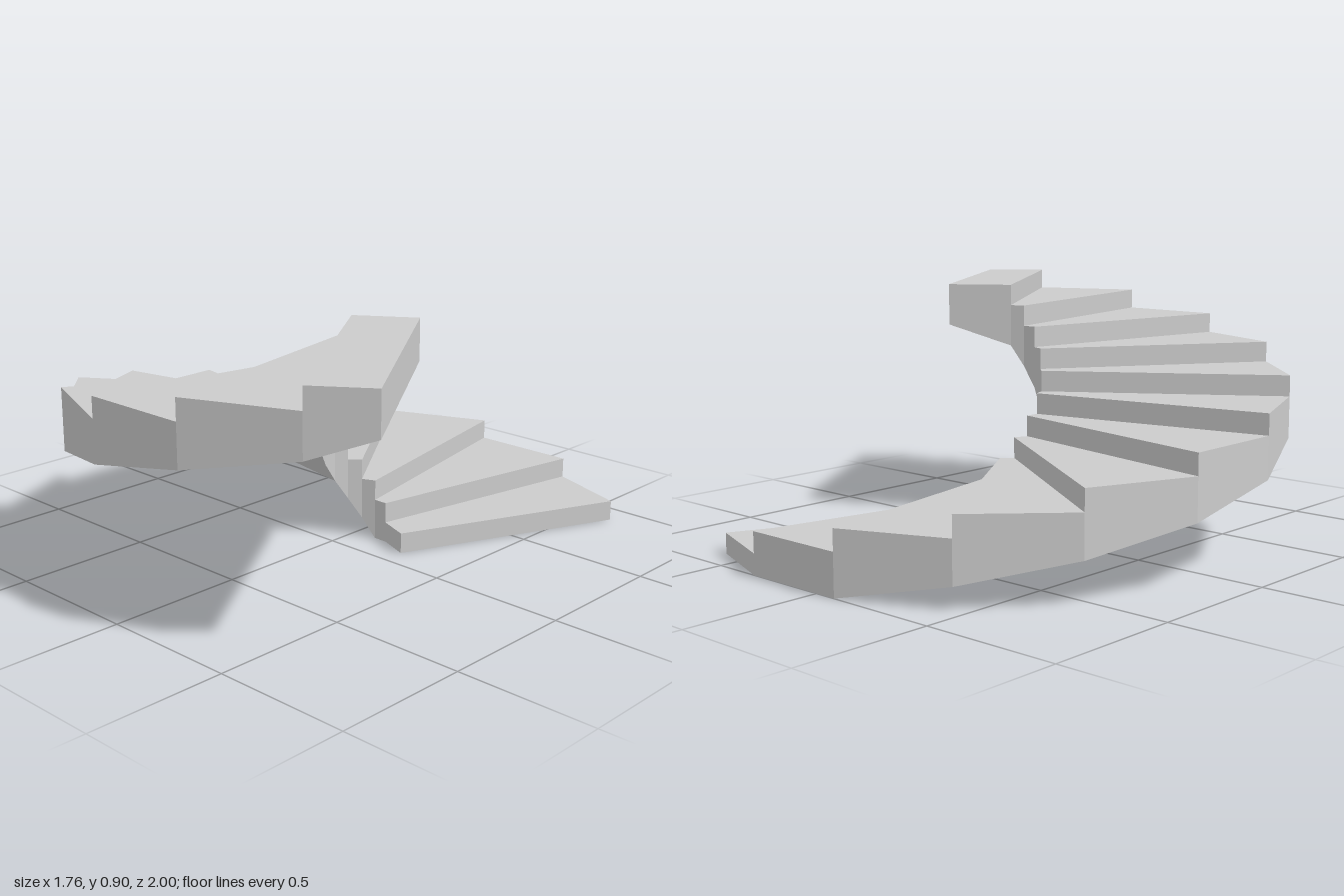
import * as THREE from 'three';

const STEPS = 12, RISE = 0.075;
const CENTRE_X = 0.12, INNER_R = 0.132, OUTER_R = 1.02;

// Plan outline: regular winders, with straighter treads at both ends
function boundary(i) {
  if (i === 0) return { inner: [0.26, -0.085], outer: [0.615, -0.893] };
  if (i === STEPS) return { inner: [0.387, -0.02], outer: [0.875, 0.715] };
  const a = THREE.MathUtils.degToRad(79 + 22.52 * (i - 1));
  const at = r => [CENTRE_X + r * Math.cos(a), -r * Math.sin(a)];
  return { inner: at(INNER_R), outer: at(OUTER_R) };
}

// Underside is flat for two steps, then climbs with the stair
const soffit = i => Math.max(0, i - 2) * RISE;

// One closed winder step between two radial boundaries
function stepGeometry(i) {
  const p = boundary(i), q = boundary(i + 1);
  const top = (i + 1) * RISE;
  const point = ([x, z], y) => [x, y, z];
  const a = point(p.inner, top), b = point(p.outer, top);
  const c = point(q.outer, top), d = point(q.inner, top);
  const e = point(p.inner, soffit(i)), f = point(p.outer, soffit(i));
  const g = point(q.outer, soffit(i + 1)), h = point(q.inner, soffit(i + 1));
  const positions = [];
  const quad = (k, l, m, n) => positions.push(...k, ...l, ...m, ...k, ...m, ...n);
  quad(a, b, c, d); // tread
  quad(f, e, h, g); // soffit, split from outer start to inner end
  quad(e, f, b, a); // riser
  quad(g, h, d, c); // back
  quad(f, g, c, b); // outer side
  quad(h, e, a, d); // inner side
  const geometry = new THREE.BufferGeometry();
  geometry.setAttribute('position', new THREE.Float32BufferAttribute(positions, 3));
  geometry.computeVertexNormals();
  return geometry;
}

export function createModel() {
  const model = new THREE.Group();
  model.name = 'spiralStaircase';
  const material = new THREE.MeshStandardMaterial({ color: 0xcccccc, flatShading: true });
  for (let i = 0; i < STEPS; i++) {
    const step = new THREE.Mesh(stepGeometry(i), material);
    step.name = `step${i + 1}`;
    model.add(step);
  }
  return model;
}
